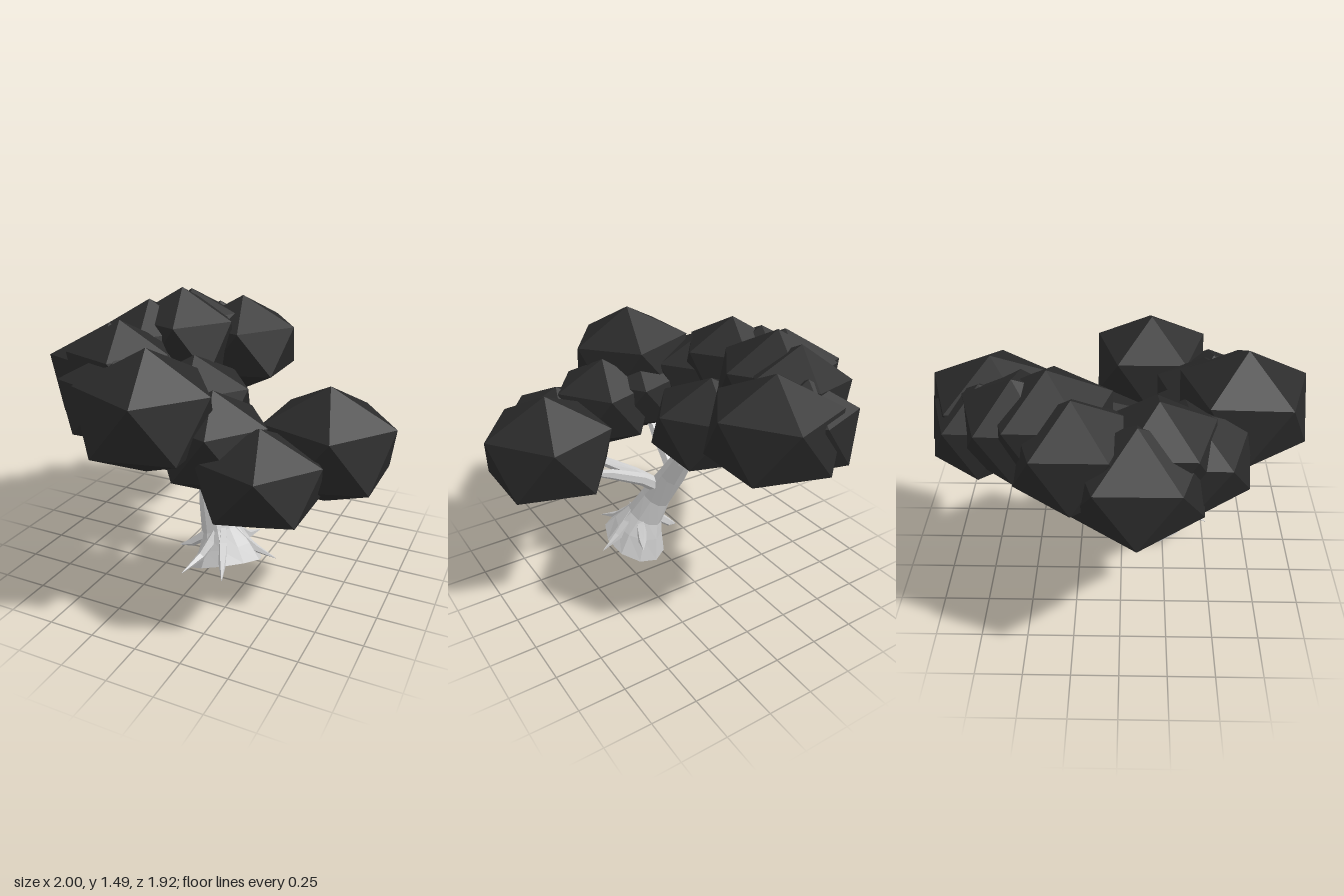
import * as THREE from 'three';

const bark = new THREE.MeshStandardMaterial({ color: 0xcccccc, flatShading: true, side: THREE.DoubleSide });
bark.name = 'pale bark';
const leaf = new THREE.MeshStandardMaterial({ color: 0x2a2a2a, flatShading: true });
leaf.name = 'dark foliage';

const V = (p) => new THREE.Vector3(...p);

// Faceted limb: rings of [x, y, z, radius] skinned together; the first ring may follow a given plane normal
function limb(name, rings, sides, firstNormal) {
  const pos = [], idx = [];
  const up = new THREE.Vector3(0, 1, 0);
  rings.forEach((r, i) => {
    const a = V(rings[Math.max(i - 1, 0)].slice(0, 3));
    const b = V(rings[Math.min(i + 1, rings.length - 1)].slice(0, 3));
    const dir = i === 0 && firstNormal ? V(firstNormal).normalize() : b.sub(a).normalize();
    const q = new THREE.Quaternion().setFromUnitVectors(up, dir);
    for (let s = 0; s < sides; s++) {
      const t = (s / sides) * Math.PI * 2;
      const p = new THREE.Vector3(Math.cos(t) * r[3], 0, Math.sin(t) * r[3]).applyQuaternion(q);
      pos.push(p.x + r[0], p.y + r[1], p.z + r[2]);
    }
    if (i === 0) return;
    for (let s = 0; s < sides; s++) {
      const n = (s + 1) % sides, lo = (i - 1) * sides, hi = i * sides;
      idx.push(lo + s, hi + s, hi + n, lo + s, hi + n, lo + n);
    }
  });
  const g = new THREE.BufferGeometry();
  g.setAttribute('position', new THREE.Float32BufferAttribute(pos, 3));
  g.setIndex(idx);
  const flat = g.toNonIndexed();
  flat.computeVertexNormals();
  const mesh = new THREE.Mesh(flat, bark);
  mesh.name = name;
  return mesh;
}

// Squashed icosahedron standing on one vertex
function clump(name, [x, y, z], r, ry, tiltX = 0, tiltZ = 0) {
  const g = new THREE.IcosahedronGeometry(1, 0);
  g.rotateZ(-Math.atan(2 / (1 + Math.sqrt(5))));
  g.scale(r, ry, r);
  g.rotateX(tiltX);
  g.rotateZ(tiltZ);
  const mesh = new THREE.Mesh(g, leaf);
  mesh.name = name;
  mesh.position.set(x, y, z);
  return mesh;
}

export function createModel() {
  const tree = new THREE.Group();
  tree.name = 'tree';

  // Leaning trunk with a flared, slanted foot
  tree.add(limb('trunk', [
    [0.13, 0.09, 0.22, 0.2],
    [0.11, 0.19, 0.2, 0.15],
    [0.075, 0.27, 0.18, 0.11],
    [0.02, 0.4, 0.14, 0.09],
    [-0.04, 0.56, 0.06, 0.078],
    [-0.07, 0.68, 0, 0.065],
    [-0.11, 0.9, -0.06, 0.055],
  ], 10, [-0.34, 1, -0.37]));

  // Branches that carry the foliage
  const branches = new THREE.Group();
  branches.name = 'branches';
  branches.add(
    limb('leftSideBranch', [[0, 0.47, 0.1, 0.045], [0.12, 0.55, 0.13, 0.038], [0.3, 0.625, 0.16, 0.03], [0.42, 0.66, 0.18, 0.015]], 6),
    limb('lowFrontBranch', [[0.02, 0.48, 0.12, 0.042], [0.13, 0.56, 0.2, 0.035], [0.28, 0.64, 0.3, 0.028], [0.38, 0.7, 0.4, 0.012]], 6),
    limb('rightSideBranch', [[-0.05, 0.57, 0.06, 0.045], [-0.17, 0.67, 0.13, 0.038], [-0.27, 0.74, 0.2, 0.032], [-0.34, 0.84, 0.26, 0.028], [-0.42, 1, 0.3, 0.015]], 6),
    limb('frontBranch', [[-0.05, 0.58, 0.07, 0.04], [-0.055, 0.65, 0.15, 0.036], [-0.065, 0.74, 0.28, 0.03], [-0.08, 0.9, 0.45, 0.02]], 6),
    limb('backBranch', [[-0.09, 0.72, -0.02, 0.04], [-0.16, 0.84, -0.2, 0.034], [-0.24, 0.91, -0.4, 0.025], [-0.27, 1, -0.58, 0.015]], 6),
  );
  // Little twigs below the rear foliage
  for (let i = -1; i <= 1; i++) {
    branches.add(limb('rearTwig', [[-0.22, 0.9, -0.36, 0.016], [-0.22 + i * 0.05, 0.92, -0.46, 0.012], [-0.22 + i * 0.1, 0.97, -0.53, 0.003]], 5));
  }
  tree.add(branches);

  // Spiky surface roots around the foot
  const roots = new THREE.Group();
  roots.name = 'roots';
  const tips = [
    [0.39, 0.14, 0.14], [0.22, 0.145, 0.48], [0, 0.15, 0.51],
    [-0.135, 0.17, 0.28], [-0.09, 0.18, 0.1], [0.22, 0.19, -0.04],
  ];
  for (const [x, y, z] of tips) {
    const d = new THREE.Vector3(x - 0.1, 0, z - 0.2).normalize();
    const at = (k, h, r) => [0.1 + d.x * k, h, 0.2 + d.z * k, r];
    roots.add(limb('root', [at(0.03, 0.33, 0.02), at(0.1, 0.245, 0.034), at(0.18, 0.19, 0.024), [x, y, z, 0.002]], 5));
  }
  tree.add(roots);

  // Foliage clumps
  const crown = new THREE.Group();
  crown.name = 'foliage';
  crown.add(
    clump('frontClump', [-0.11, 1.09, 0.63], 0.385, 0.32, 0.02, -0.05),
    clump('leftClump', [0.66, 0.88, 0.17], 0.38, 0.31),
    clump('backClump', [-0.17, 1.115, -0.645], 0.375, 0.3),
    clump('topClump', [-0.425, 1.18, -0.34], 0.355, 0.315),
    clump('topRightClump', [-0.58, 1.14, -0.22], 0.335, 0.295),
    clump('rightClump', [-0.665, 1.05, 0.08], 0.375, 0.3),
    clump('upperRightClump', [-0.53, 1.11, 0.18], 0.33, 0.29),
    clump('lowerRightClump', [-0.45, 1.02, 0.33], 0.36, 0.27),
    clump('centreClump', [-0.21, 0.9, -0.07], 0.37, 0.28),
    clump('upperBackClump', [-0.42, 1.18, -0.5], 0.31, 0.28, 0, 0.1),
    clump('rearRightClump', [-0.34, 1.1, -0.68], 0.29, 0.26),
    clump('lowerFrontClump', [0.44, 0.8, 0.53], 0.35, 0.26),
    clump('middleClump', [0.17, 0.92, 0.47], 0.32, 0.27),
    clump('innerFrontClump', [-0.04, 0.95, 0.45], 0.3, 0.24),
  );
  tree.add(crown);
  return tree;
}
